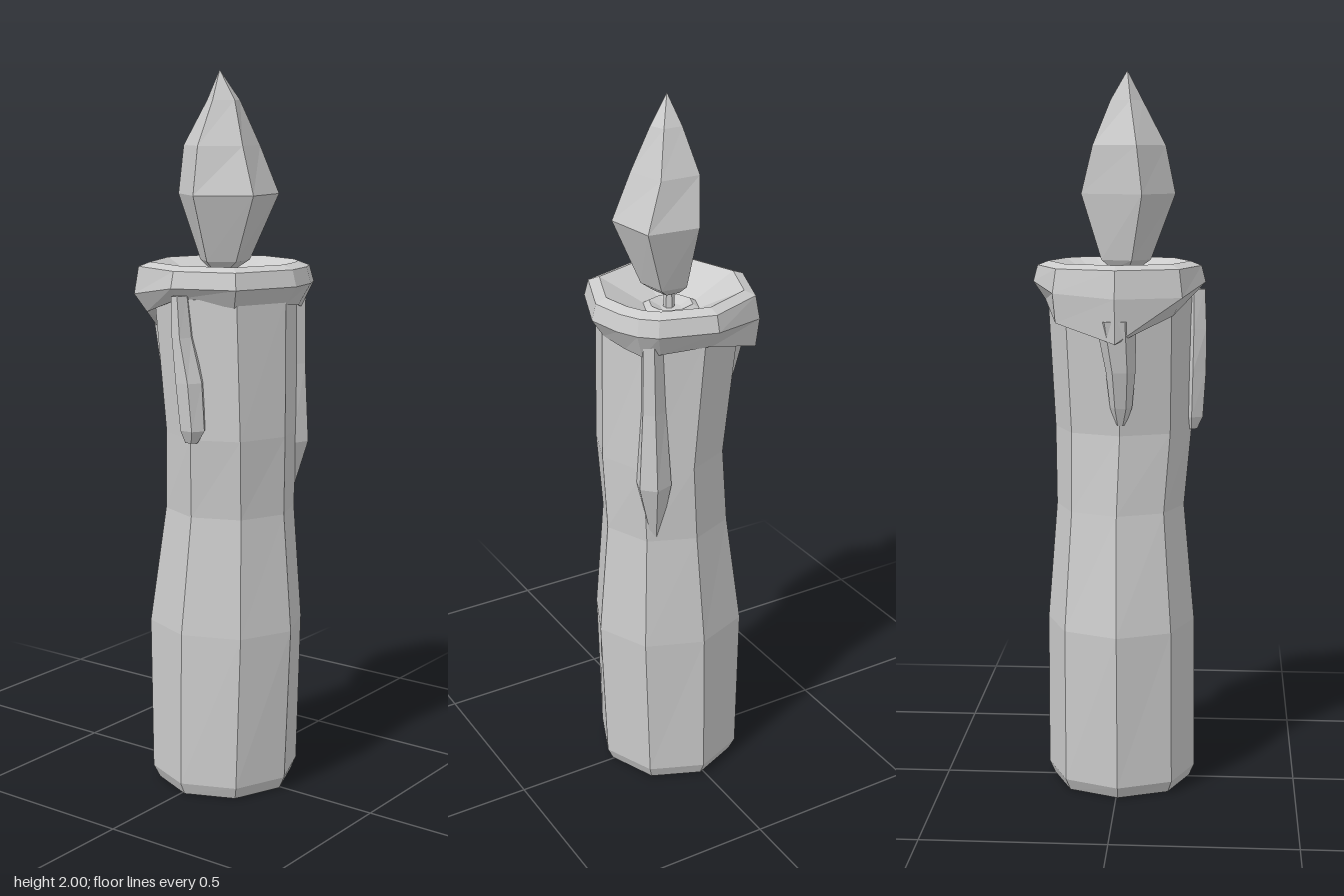
import * as THREE from 'three';

const material = new THREE.MeshStandardMaterial({ color: 0xcccccc, flatShading: true });

// Skin a stack of rings (bottom to top, each running from +x towards +z) and cap both ends.
function loft(rings) {
  const pos = [];
  const tri = (a, b, c) => pos.push(...a, ...b, ...c);
  const n = rings[0].length;
  const centre = (r) => [0, 1, 2].map((k) => r.reduce((s, p) => s + p[k], 0) / n);
  const last = rings[rings.length - 1];
  const lo = centre(rings[0]), hi = centre(last);
  for (let j = 0; j < n; j++) {
    const k = (j + 1) % n;
    tri(lo, rings[0][j], rings[0][k]);
    for (let i = 0; i + 1 < rings.length; i++) {
      const p = rings[i], q = rings[i + 1];
      tri(p[j], q[j], p[k]);
      tri(p[k], q[j], q[k]);
    }
    tri(hi, last[k], last[j]);
  }
  const g = new THREE.BufferGeometry();
  g.setAttribute('position', new THREE.Float32BufferAttribute(pos, 3));
  g.computeVertexNormals();
  return g;
}

// Elliptical ring with any number of sides.
function ellipse(n, y, cx, cz, rx, rz) {
  return Array.from({ length: n }, (_, i) => {
    const a = (i / n) * Math.PI * 2;
    return [cx + rx * Math.cos(a), y, cz + rz * Math.sin(a)];
  });
}

// Wax run: sections are [y, sideways, outward, half width, half depth], turned to face an angle.
function drip(name, angle, sections) {
  const m = mesh(name, loft(sections.map(([y, s, o, w, d]) => ellipse(6, y, s, o, w, d))));
  m.rotation.y = angle;
  return m;
}

function mesh(name, geometry) {
  const m = new THREE.Mesh(geometry, material);
  m.name = name;
  return m;
}

export function createModel() {
  const group = new THREE.Group();
  group.name = 'candle';

  // Eight-sided wax column: y, centre x, centre z, radius x, radius z
  const column = [
    [0, 0.01, 0.005, 0.19, 0.195],
    [0.035, 0.008, 0.005, 0.208, 0.21],
    [0.47, 0.01, 0.003, 0.223, 0.208],
    [0.8, 0.022, 0, 0.183, 0.18],
    [1.02, 0.035, 0.008, 0.178, 0.192],
    [1.4, 0.012, 0.003, 0.197, 0.205],
  ];
  group.add(mesh('column', loft(column.map((s) => ellipse(8, ...s)))));

  // Melted rim: x, z, y of the lower edge, y of the widest line
  const rim = [
    [0.24, 0, 1.38, 1.43], [0.17, 0.177, 1.38, 1.43],
    [0, 0.237, 1.4, 1.43], [-0.175, 0.177, 1.35, 1.4],
    [-0.24, 0, 1.28, 1.4], [-0.175, -0.17, 1.33, 1.41],
    [-0.005, -0.24, 1.38, 1.43], [0.15, -0.195, 1.37, 1.43],
    [0.192, -0.157, 1.36, 1.43], [0.22, -0.1, 1.37, 1.43],
  ];
  const rimRing = (k, y) => rim.map((p) => [p[0] * k, y(p), p[1] * k]);
  group.add(mesh('rim', loft([
    rimRing(0.75, (p) => p[2] + 0.01),
    rim.map((p) => {
      const k = p[2] < 1.34 ? 0.96 : 0.86; // the slumped side hangs away from the column
      return [p[0] * k, p[2], p[1] * k];
    }),
    rimRing(1, (p) => p[3]),
    rimRing(0.95, () => 1.475),
    rimRing(0.82, () => 1.487),
    rimRing(0.32, () => 1.425),
    rimRing(0.25, () => 1.435),
    rimRing(0.12, () => 1.42),
  ])));

  // Wax runs on the front, right and back-left sides
  group.add(drip('frontDrip', 0, [
    [1.015, 0.04, 0.2, 0.02, 0.018],
    [1.05, 0.045, 0.2, 0.038, 0.036],
    [1.18, 0.037, 0.203, 0.04, 0.042],
    [1.3, 0.018, 0.205, 0.026, 0.04],
    [1.41, 0.01, 0.205, 0.02, 0.035],
  ]));
  group.add(drip('rightDrip', -Math.PI / 2, [
    [1.05, 0.01, 0.135, 0.014, 0.015],
    [1.1, 0.012, 0.145, 0.03, 0.03],
    [1.2, 0.012, 0.165, 0.04, 0.045],
    [1.34, 0, 0.18, 0.055, 0.06],
  ]));
  group.add(drip('backLeftDrip', Math.PI * 0.75, [
    [0.78, 0, 0.17, 0.008, 0.01],
    [0.98, 0, 0.185, 0.05, 0.058],
    [1.2, 0, 0.185, 0.035, 0.048],
    [1.41, 0, 0.19, 0.03, 0.042],
  ]));

  // Wick
  const wick = mesh('wick', new THREE.CylinderGeometry(0.013, 0.016, 0.12, 6));
  wick.position.set(0, 1.46, 0.01);
  group.add(wick);

  // Five-sided flame: each ring lists x, z pairs
  const flame = [
    [1.465, [0.035, 0.03, 0, 0.05, -0.03, 0.025, -0.015, -0.02, 0.025, -0.02]],
    [1.49, [0.07, 0.04, 0.005, 0.085, -0.055, 0.035, -0.02, -0.05, 0.055, -0.045]],
    [1.67, [0.143, 0.062, 0.01, 0.152, -0.107, 0.065, -0.025, -0.105, 0.12, -0.09]],
    [1.8, [0.095, 0.045, 0.005, 0.125, -0.1, 0.05, -0.045, -0.072, 0.07, -0.07]],
    [1.92, [0.05, 0.02, 0.008, 0.062, -0.035, 0.03, -0.02, -0.025, 0.035, -0.025]],
    [2, [0, 0.02, 0, 0.02, 0, 0.02, 0, 0.02, 0, 0.02]],
  ];
  group.add(mesh('flame', loft(flame.map(([y, p]) =>
    [0, 1, 2, 3, 4].map((i) => [p[i * 2], y, p[i * 2 + 1]])))));

  return group;
}
